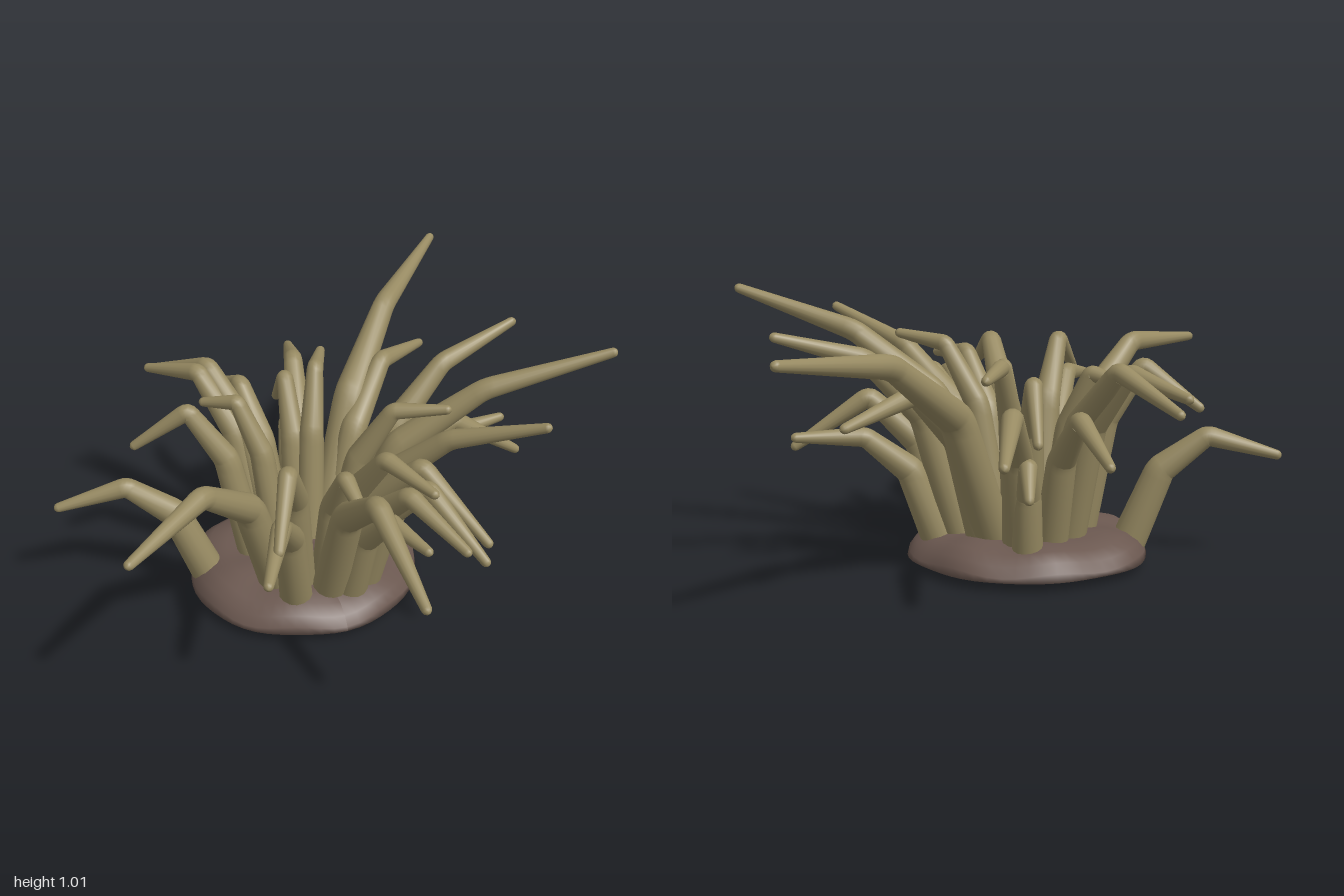
import * as THREE from 'three';

const SIDES = 14;
const CENTRE = new THREE.Vector2(-0.06, -0.055);
const skin = new THREE.MeshStandardMaterial({ color: 0x978a62 });
const footSkin = new THREE.MeshStandardMaterial({ color: 0x6b5850 });

// Each arm: tip x, y, z, knee height, distance of the root from the centre
const ARMS = [
  // right-hand side
  [-0.95, 0.40, -0.31, 0.47, 0.37],
  [-0.92, 0.73, 0.58, 0.75, 0.18],
  [-0.64, 0.59, -0.32, 0.74, 0.19],
  [-0.49, 0.58, 0.67, 0.62, 0.25],
  [-0.41, 0.62, 0.56, 0.77, 0.18],
  // front
  [-0.08, 0.59, 0.99, 0.74, 0.21],
  [-0.06, 0.61, 0.48, 0.67, 0.17],
  [0.11, 0.52, 0.63, 0.53, 0.26],
  [0.16, 0.70, 0.56, 0.73, 0.15],
  [0.21, 0.55, 0.72, 0.64, 0.22],
  [0.34, 0.41, 0.63, 0.62, 0.25],
  [0.38, 0.44, 0.57, 0.67, 0.17],
  [0.36, 0.82, 0.25, 0.79, 0.10],
  [0.56, 0.89, 0.60, 0.76, 0.15],
  // left-hand side
  [0.95, 0.99, 0.38, 0.84, 0.12],
  [0.78, 0.44, 0.05, 0.62, 0.26],
  [0.79, 0.50, -0.10, 0.49, 0.31],
  [0.86, 0.87, -0.18, 0.78, 0.23],
  [0.67, 0.62, -0.59, 0.69, 0.20],
  // back
  [0.91, 0.89, -0.99, 0.82, 0.17],
  [0.22, 0.54, -0.93, 0.64, 0.23],
  [0.18, 0.74, -0.48, 0.76, 0.10],
  [0.06, 0.35, -0.60, 0.44, 0.31],
  [0.02, 0.53, -0.56, 0.71, 0.13],
  [-0.155, 0.50, -0.82, 0.61, 0.23],
  [-0.41, 0.65, -0.76, 0.76, 0.15],
  [-0.46, 0.69, -0.70, 0.75, 0.20],
  [-0.35, 0.69, -0.36, 0.72, 0.11],
];

// Lofts round rings along a path lying in one vertical plane
function loft(rings, side) {
  const pos = [], index = [];
  rings.forEach(({ p, r }, i) => {
    const a = rings[Math.max(i - 1, 0)].p, b = rings[Math.min(i + 1, rings.length - 1)].p;
    const other = b.clone().sub(a).normalize().cross(side);
    for (let j = 0; j < SIDES; j++) {
      const t = (j / SIDES) * Math.PI * 2;
      const v = p.clone().addScaledVector(side, r * Math.cos(t)).addScaledVector(other, r * Math.sin(t));
      pos.push(v.x, v.y, v.z);
      if (i === 0) continue;
      const k = (j + 1) % SIDES, lo = (i - 1) * SIDES, hi = i * SIDES;
      index.push(lo + j, lo + k, hi + j, lo + k, hi + k, hi + j);
    }
  });
  const g = new THREE.BufferGeometry();
  g.setAttribute('position', new THREE.Float32BufferAttribute(pos, 3));
  g.setIndex(index);
  g.computeVertexNormals();
  return g;
}

// Tapering arm: root, stem bend, knee, tip, with tight bends and rounded ends
function tentacle([tx, ty, tz, kneeY, root]) {
  const out = new THREE.Vector2(tx, tz).sub(CENTRE);
  const reach = out.length();
  out.normalize();
  const at = (f, y) => {
    const d = root + (reach - root) * f;
    return new THREE.Vector3(CENTRE.x + out.x * d, y, CENTRE.y + out.y * d);
  };
  const p = [at(0, 0.028), at(0.23, kneeY * 0.72), at(0.54, kneeY), at(1, ty)];
  const r = 0.045 + 0.024 * reach;
  const radii = [r, r * 0.82, r * 0.56, 0.018];
  const side = new THREE.Vector3(out.y, 0, -out.x);
  const rings = [];
  const cap = (i, dir, squash, angles) => angles.forEach((a) => rings.push({
    p: p[i].clone().addScaledVector(dir, radii[i] * squash * Math.sin(a)),
    r: Math.max(radii[i] * Math.cos(a), 0.0005),
  }));
  cap(0, new THREE.Vector3(0, -1, 0), 0.4, [1.57, 1.1, 0.55, 0]);
  for (const i of [1, 2]) {
    const before = p[i].clone().lerp(p[i - 1], 0.08), after = p[i].clone().lerp(p[i + 1], 0.08);
    const bend = new THREE.QuadraticBezierCurve3(before, p[i], after);
    for (let s = 0; s <= 4; s++) rings.push({ p: bend.getPoint(s / 4), r: radii[i] * (1.03 - s * 0.015) });
  }
  cap(3, p[3].clone().sub(p[2]).normalize(), 1, [0, 0.55, 1.1, 1.57]);
  return new THREE.Mesh(loft(rings, side), skin);
}

// Low domed foot with a gently uneven rim
function foot() {
  const profile = [
    [0, 0.028], [0.25, 0.026], [0.42, 0.022], [0.446, 0.028], [0.44, 0.05], [0.415, 0.085],
    [0.37, 0.115], [0.3, 0.132], [0.18, 0.132], [0, 0.125],
  ].map(([x, y]) => new THREE.Vector2(x, y));
  const g = new THREE.LatheGeometry(profile, 56);
  const v = g.attributes.position;
  for (let i = 0; i < v.count; i++) {
    const x = v.getX(i), z = v.getZ(i), a = Math.atan2(z, x);
    const k = 1 + 0.01 * Math.sin(5 * a + 1) + 0.008 * Math.cos(8 * a);
    const lift = v.getY(i) > 0.05 ? 0.008 * Math.sin(7 * a) * Math.hypot(x, z) / 0.44 : 0;
    v.setXYZ(i, x * k, v.getY(i) + lift, z * k * 0.97);
  }
  g.computeVertexNormals();
  const mesh = new THREE.Mesh(g, footSkin);
  mesh.position.set(-0.065, 0, -0.08);
  return mesh;
}

export function createModel() {
  const model = new THREE.Group();
  model.name = 'seaAnemone';
  const base = foot();
  base.name = 'foot';
  model.add(base);

  const arms = new THREE.Group();
  arms.name = 'tentacles';
  ARMS.forEach((spec, i) => {
    const arm = tentacle(spec);
    arm.name = `tentacle${i + 1}`;
    arms.add(arm);
  });
  model.add(arms);
  return model;
}
